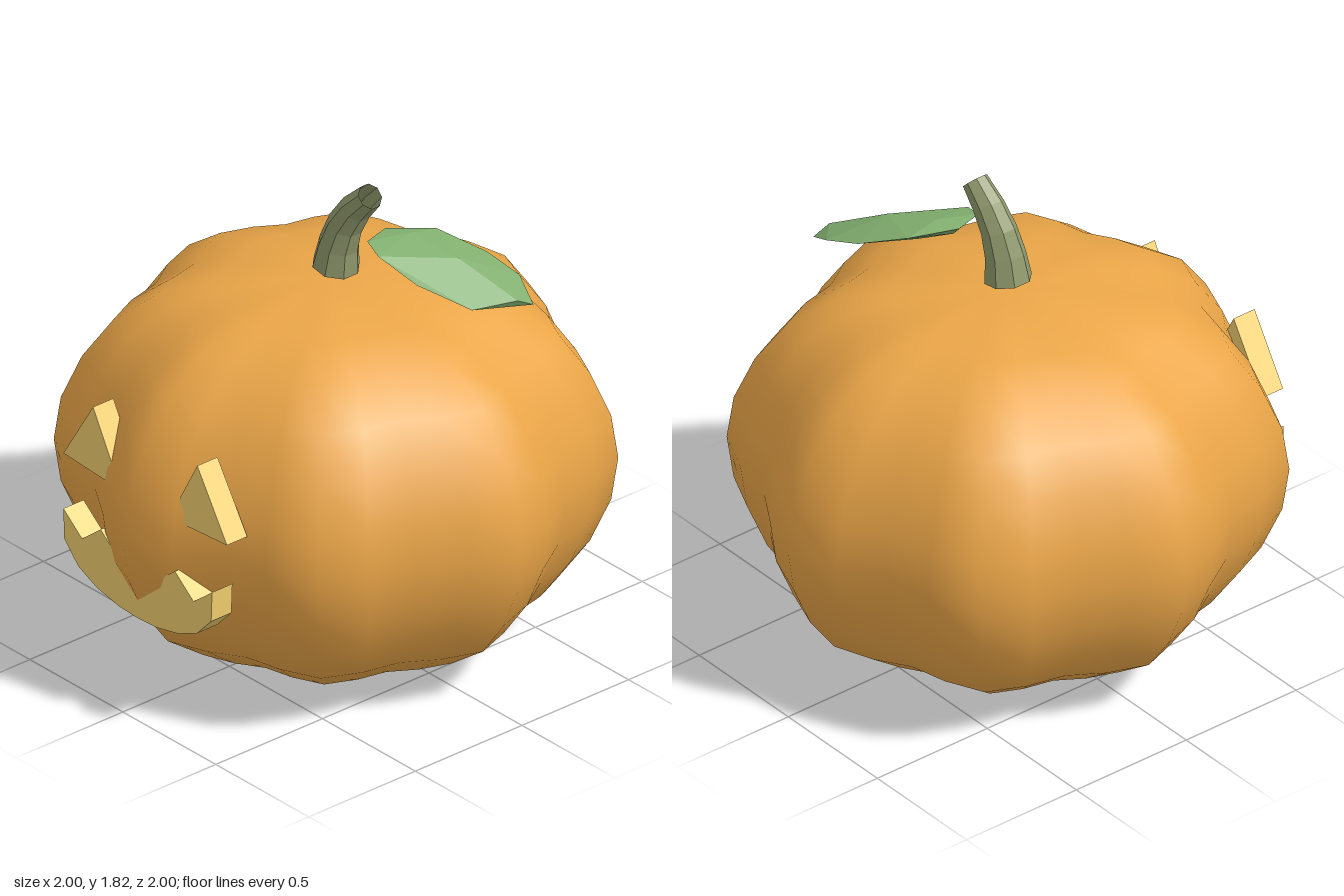
import * as THREE from 'three';
import { mergeVertices } from 'three/addons/utils/BufferGeometryUtils.js';
import { ConvexGeometry } from 'three/addons/geometries/ConvexGeometry.js';

const V = (x, y, z) => new THREE.Vector3(x, y, z);

function add(group, name, geometry, color, options = {}) {
  const material = new THREE.MeshStandardMaterial({ color, ...options });
  const mesh = new THREE.Mesh(geometry, material);
  mesh.name = name;
  group.add(mesh);
  return mesh;
}

// Ribbed body: a sphere reshaped to a squat profile with eight ridges
function bodyGeometry() {
  const radii = [0, 0.22, 0.43, 0.62, 0.79, 0.9, 0.975, 1];
  const heights = [0.7, 0.692, 0.662, 0.61, 0.49, 0.34, 0.17, 0];
  const rings = 14, segments = 32;
  const sphere = new THREE.SphereGeometry(1, segments, rings);
  const p = sphere.attributes.position;
  for (let i = 0; i < p.count; i++) {
    const ring = Math.floor(i / (segments + 1));
    const k = Math.min(ring, rings - ring);
    const a = (i % (segments + 1)) / segments * Math.PI * 2;
    const r = radii[k] * (0.95 + 0.05 * Math.cos(8 * a));
    const y = 0.7 + (ring <= 7 ? heights[k] : -heights[k]);
    p.setXYZ(i, -r * Math.cos(a), y, r * Math.sin(a));
  }
  sphere.deleteAttribute('uv');
  sphere.deleteAttribute('normal');
  const merged = mergeVertices(sphere, 1e-4);
  merged.computeVertexNormals();
  return merged;
}

// Bent, tapering eight-sided stem, open at both ends
function stemGeometry() {
  const path = [
    [0, 1.445, 0, 0.088, 0.17], [0.015, 1.54, 0, 0.075, 0.26], [0.045, 1.63, -0.005, 0.066, 0.4],
    [0.095, 1.712, -0.012, 0.058, 0.62], [0.163, 1.785, -0.018, 0.048, 0.8],
  ];
  const sides = 8;
  const g = new THREE.CylinderGeometry(1, 1, 1, sides, path.length - 1, true);
  const p = g.attributes.position;
  for (let i = 0; i < p.count; i++) {
    const row = path.length - 1 - Math.floor(i / (sides + 1));
    const [x, y, z, r, tilt] = path[row];
    const a = ((i % (sides + 1)) + 0.5) / sides * Math.PI * 2;
    const s = r * Math.sin(a);
    p.setXYZ(i, x + s * Math.cos(tilt), y - s * Math.sin(tilt), z + r * Math.cos(a));
  }
  g.computeVertexNormals();
  return g;
}

// Flat panel cut from an outline, running from z to z + depth
function panel(points, z, depth) {
  const shape = new THREE.Shape(points.map(([x, y]) => new THREE.Vector2(x, y)));
  return new THREE.ExtrudeGeometry(shape, { depth, bevelEnabled: false }).translate(0, 0, z);
}

export function createModel() {
  const group = new THREE.Group();
  const glow = 0xf2d070;

  add(group, 'body', bodyGeometry(), 0xeba648);
  add(group, 'stem', stemGeometry(), 0x8f986c, { flatShading: true, side: THREE.DoubleSide });

  // Faceted, drooping leaf
  const leaf = [
    V(0.15, 1.62, -0.1), V(0.24, 1.6, -0.26), V(0.4, 1.535, -0.36), V(0.54, 1.49, -0.39),
    V(0.655, 1.43, -0.355), V(0.645, 1.465, -0.29), V(0.57, 1.45, -0.14), V(0.4, 1.52, -0.03),
    V(0.26, 1.6, 0.03), V(0.18, 1.62, 0.01),
    V(0.24, 1.627, -0.13), V(0.43, 1.58, -0.2),
    V(0.22, 1.55, -0.07), V(0.33, 1.5, -0.14), V(0.55, 1.43, -0.27),
  ];
  add(group, 'leaf', new ConvexGeometry(leaf), 0x82b070, { flatShading: true });

  // Eyes, mirrored
  for (const [name, s] of [['leftEye', 1], ['rightEye', -1]]) {
    const outline = [[0.28, 1.08], [0.13, 0.805], [0.44, 0.825]].map(([x, y]) => [s * x, y]);
    add(group, name, panel(outline, 0.8, 0.095), glow);
  }

  // Grinning mouth: zigzag top, curved bottom
  const mouth = [];
  for (let i = 0; i <= 8; i++) mouth.push([-0.4 + i * 0.1, i % 2 ? 0.55 : 0.63]);
  const half = [[0.395, 0.51], [0.32, 0.43], [0.22, 0.385], [0.1, 0.36]];
  mouth.push(...half, [0, 0.355], ...half.slice().reverse().map(([x, y]) => [-x, y]));
  add(group, 'mouth', panel(mouth, 0.835, 0.095), glow);

  return group;
}
